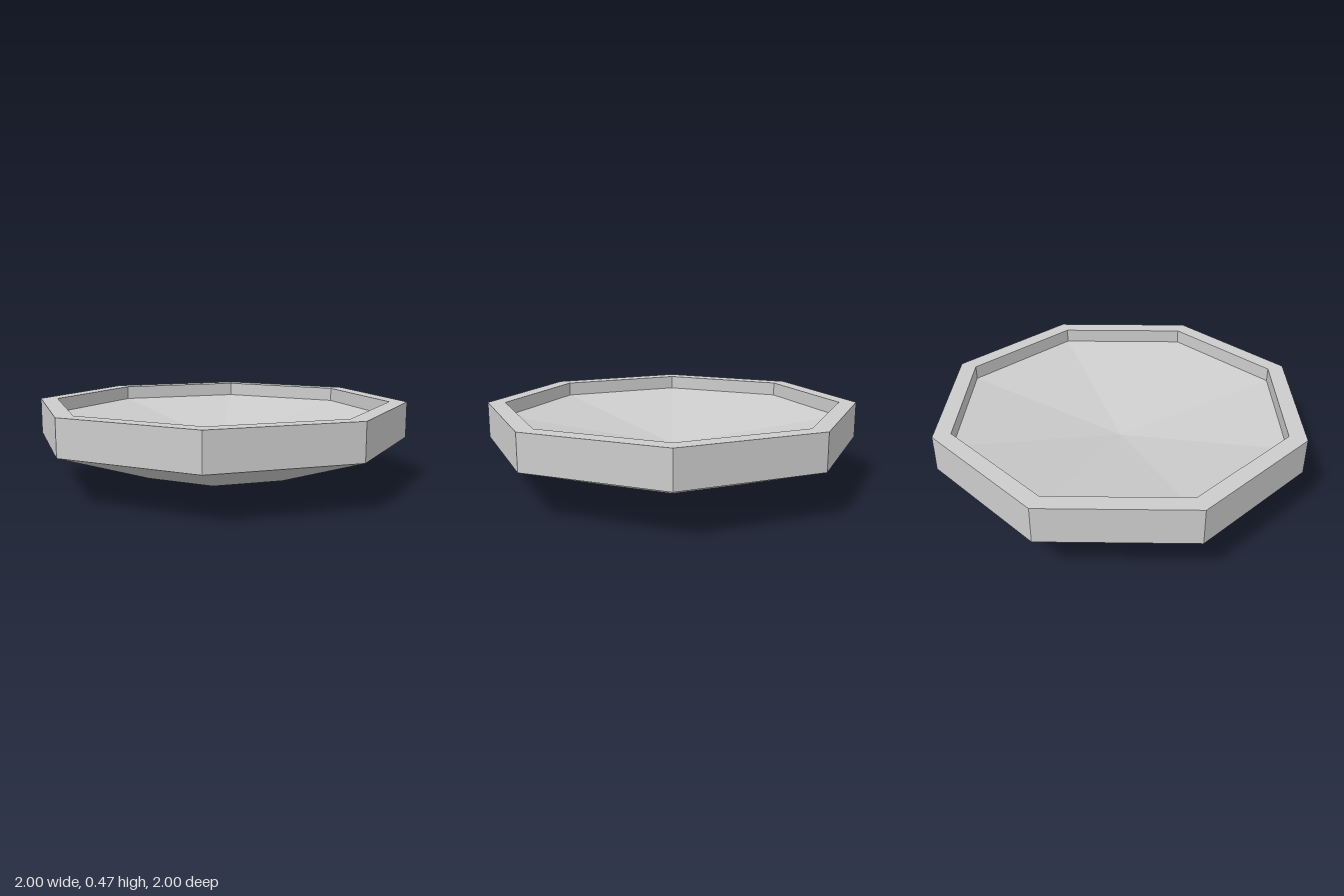
import * as THREE from 'three';

// Eight-sided shallow dish with a raised rim and a faceted underside.
export function createModel() {
  const group = new THREE.Group();
  group.name = 'octagonalDish';

  const grey = new THREE.MeshStandardMaterial({ color: 0xcccccc, flatShading: true });
  grey.name = 'grey';

  // Profile points are [distance to the middle of a flat side, height].
  const corner = 1 / Math.cos(Math.PI / 8);
  const addRing = (name, profile) => {
    const points = profile.map(([r, y]) => new THREE.Vector2(r * corner, y));
    const mesh = new THREE.Mesh(new THREE.LatheGeometry(points, 8, Math.PI / 8), grey);
    mesh.name = name;
    group.add(mesh);
  };

  // Underside: flat foot, then two steepening bands
  addRing('underside', [[0, 0], [0.185, 0], [0.48, 0.075], [1, 0.263]]);
  // Rim: outer wall, flat top, inner wall
  addRing('rim', [[1, 0.263], [1, 0.47], [0.906, 0.47], [0.906, 0.388]]);
  // Floor sloping down to the centre
  addRing('floor', [[0.906, 0.388], [0, 0.222]]);

  return group;
}
